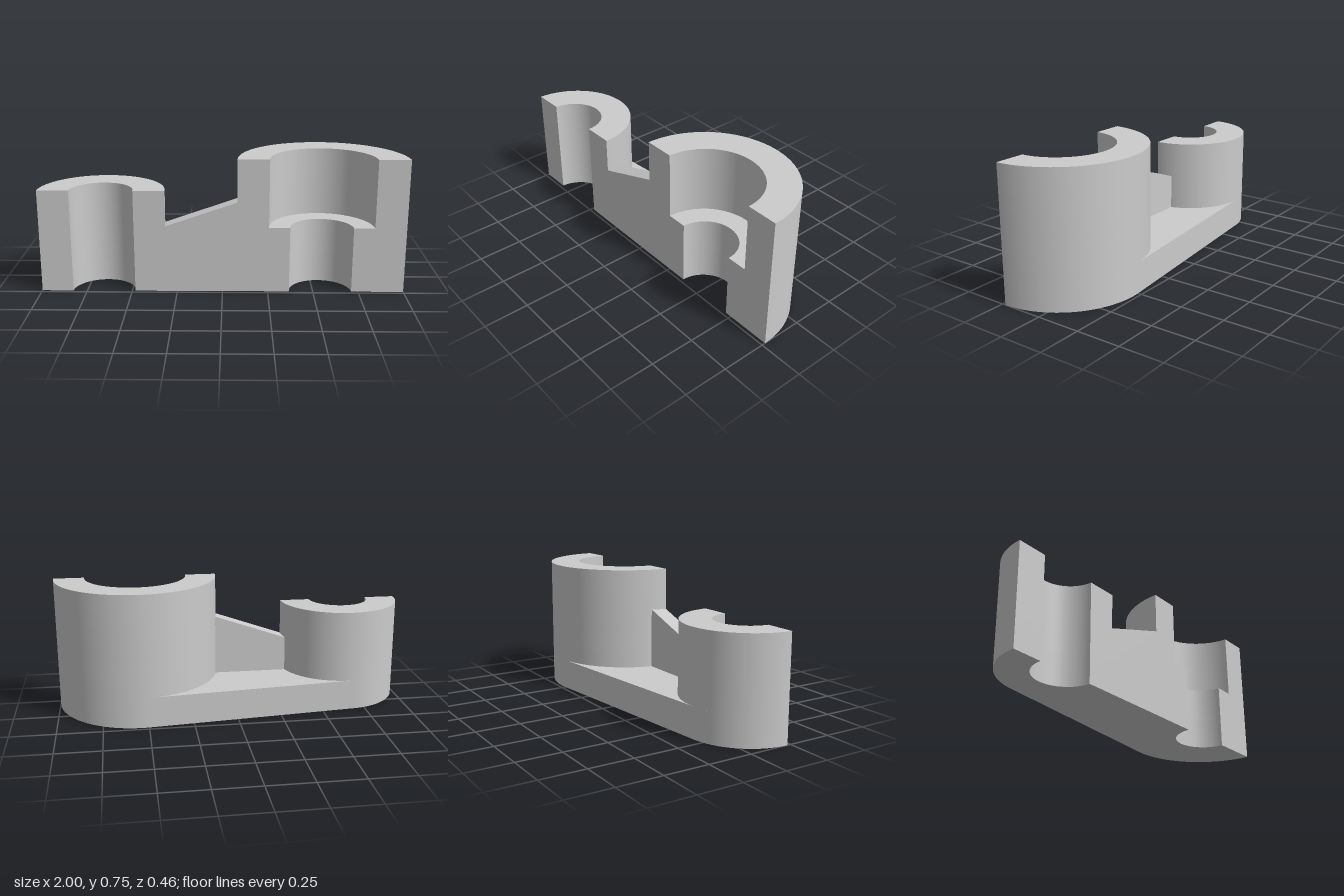
import * as THREE from 'three';
import { toCreasedNormals } from 'three/addons/utils/BufferGeometryUtils.js';

const U = 1 / 87;                       // one drawing unit
const CUT = 20 * U;                     // z of the flat section face
const SMALL = { x: -57 * U, r: 30 * U, bore: 15 * U, top: 50 * U };
const LARGE = { x: 47 * U, r: 40 * U, bore: 15 * U, counterbore: 25 * U, ledge: 32 * U, top: 65 * U };
const PLATE = 15 * U;
const RIB = 8 * U;                      // half thickness of the rib

const material = new THREE.MeshStandardMaterial({ color: 0xcccccc });

function makeMesh(name, geometry) {
  const mesh = new THREE.Mesh(toCreasedNormals(geometry, 0.5), material);
  mesh.name = name;
  return mesh;
}

// Extrudes a plan outline (y of the shape points to the back) between two heights.
function slab(name, shape, y0, y1) {
  const g = new THREE.ExtrudeGeometry(shape, { depth: y1 - y0, bevelEnabled: false, curveSegments: 48 });
  g.rotateX(-Math.PI / 2).translate(0, y0, CUT);
  return makeMesh(name, g);
}

function halfRing(x, outer, inner) {
  const s = new THREE.Shape();
  s.absarc(x, 0, outer, 0, Math.PI, false);
  s.absarc(x, 0, inner, Math.PI, 0, true);
  s.closePath();
  return s;
}

// Plate outline: two end arcs joined by their common tangent, with both half bores.
function plateShape() {
  const t = Math.acos((SMALL.r - LARGE.r) / (LARGE.x - SMALL.x));
  const s = new THREE.Shape();
  s.absarc(LARGE.x, 0, LARGE.r, 0, t, false);
  s.absarc(SMALL.x, 0, SMALL.r, t, Math.PI, false);
  s.absarc(SMALL.x, 0, SMALL.bore, Math.PI, 0, true);
  s.absarc(LARGE.x, 0, LARGE.bore, Math.PI, 0, true);
  s.closePath();
  return s;
}

// Sloping web between the bosses, reaching just into their walls.
function ribGeometry() {
  const x0 = SMALL.x + Math.sqrt(SMALL.r ** 2 - RIB ** 2);
  const x1 = LARGE.x - Math.sqrt(LARGE.r ** 2 - RIB ** 2);
  const s = new THREE.Shape();
  s.moveTo(x0, PLATE);
  s.lineTo(x1, PLATE);
  s.lineTo(x1, 0.514);
  s.lineTo(x0, 0.371);
  s.closePath();
  return new THREE.ExtrudeGeometry(s, { depth: RIB, bevelEnabled: false }).translate(0, 0, CUT - RIB);
}

export function createModel() {
  const model = new THREE.Group();
  model.name = 'halfSectionedLink';
  model.add(
    slab('basePlate', plateShape(), 0, PLATE),
    slab('smallBoss', halfRing(SMALL.x, SMALL.r, SMALL.bore), PLATE, SMALL.top),
    slab('largeBossLower', halfRing(LARGE.x, LARGE.r, LARGE.bore), PLATE, LARGE.ledge),
    slab('largeBossUpper', halfRing(LARGE.x, LARGE.r, LARGE.counterbore), LARGE.ledge, LARGE.top),
    makeMesh('rib', ribGeometry())
  );
  return model;
}
